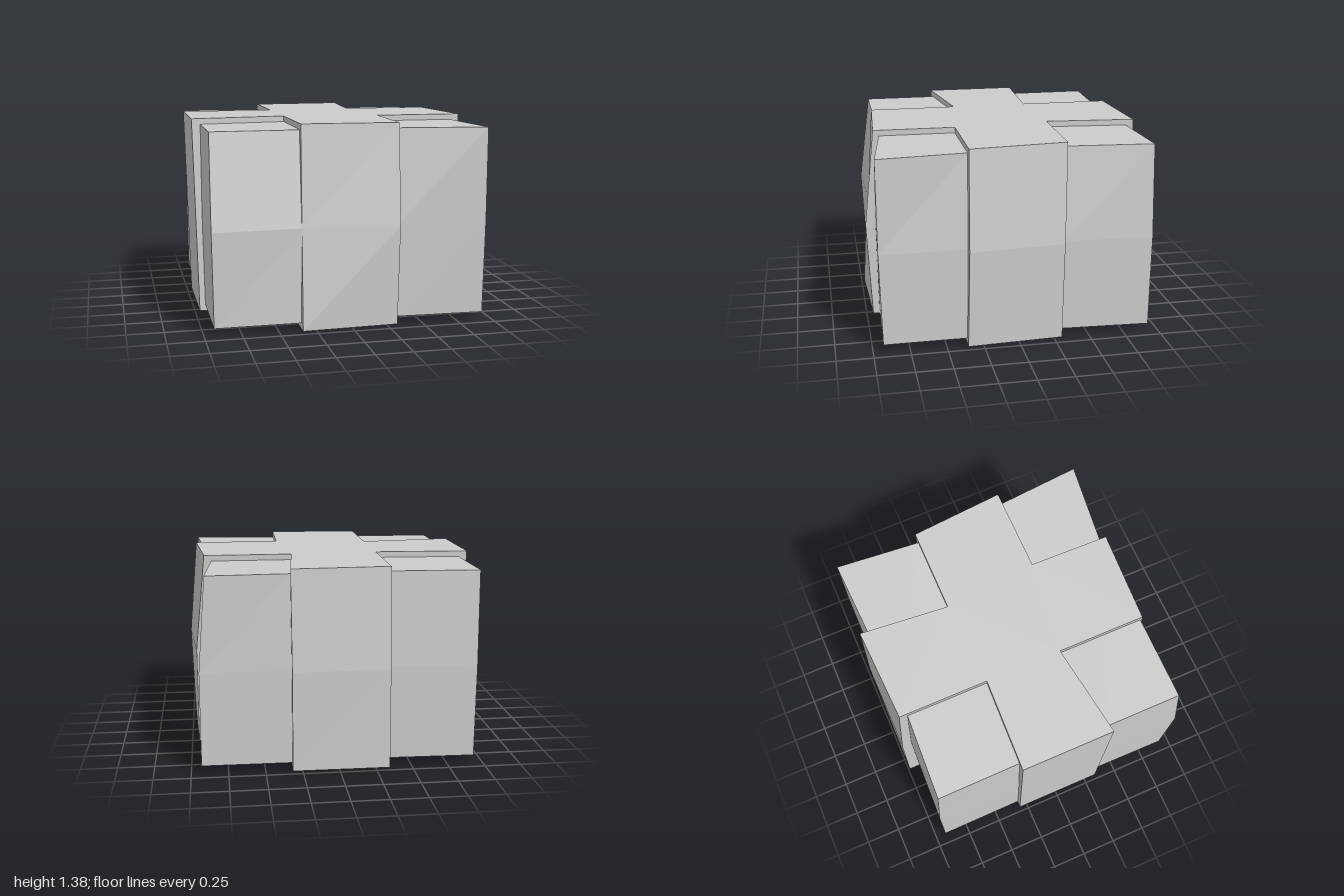
import * as THREE from 'three';

// Flat-shaded solid lofted through rings of [x, y, z]; caps list the corners of each end face.
function loft(rings, caps) {
  const pos = [];
  const tri = (a, b, c) => pos.push(...a, ...b, ...c);
  const n = rings[0].length;
  for (let k = 0; k < rings.length - 1; k++) {
    for (let i = 0; i < n; i++) {
      const j = (i + 1) % n;
      const [a, b, c, d] = [rings[k][i], rings[k][j], rings[k + 1][j], rings[k + 1][i]];
      tri(a, b, c);
      tri(a, c, d);
    }
  }
  const bottom = rings[0], top = rings[rings.length - 1];
  for (const cap of caps) {
    for (let i = 1; i < cap.length - 1; i++) {
      tri(top[cap[0]], top[cap[i]], top[cap[i + 1]]);
      tri(bottom[cap[0]], bottom[cap[i + 1]], bottom[cap[i]]);
    }
  }
  const geo = new THREE.BufferGeometry();
  geo.setAttribute('position', new THREE.Float32BufferAttribute(pos, 3));
  geo.computeVertexNormals();
  return geo;
}

// Plan outline [x, z] placed at a height (number, or function of the corner index).
const level = (outline, y) =>
  outline.map(([x, z], i) => [x, typeof y === 'function' ? y(i) : y, z]);

export function createModel() {
  const model = new THREE.Group();
  model.name = 'strappedParcel';
  const grey = new THREE.MeshStandardMaterial({ color: 0xcccccc });
  grey.name = 'light grey';

  const add = (name, geo) => {
    const mesh = new THREE.Mesh(geo, grey);
    mesh.name = name;
    model.add(mesh);
  };

  // Bulging, slightly uneven parcel: front, right, back, left, counterclockwise from above
  const bodyBottom = [
    [-0.935, 0.92], [-0.34, 0.92], [0.32, 0.91], [0.93, 0.93], [0.93, 0.34], [0.90, -0.32],
    [0.93, -0.925], [0.32, -0.93], [-0.34, -0.91], [-0.935, -0.925], [-0.93, -0.32], [-0.93, 0.34],
  ];
  const bodyMiddle = [
    [-0.945, 0.945], [-0.34, 0.92], [0.32, 0.915], [0.935, 0.945], [0.93, 0.34], [0.90, -0.32],
    [0.93, -0.93], [0.32, -0.93], [-0.34, -0.91], [-0.94, -0.93], [-0.94, -0.32], [-0.94, 0.34],
  ];
  const bodyTop = [
    [-0.94, 0.86], [-0.34, 0.825], [0.32, 0.87], [0.935, 0.945], [0.88, 0.34], [0.83, -0.33],
    [0.88, -0.93], [0.32, -0.905], [-0.34, -0.875], [-0.945, -0.90], [-0.94, -0.32], [-0.94, 0.34],
  ];
  add('parcelBody', loft(
    [level(bodyBottom, 0.055), level(bodyMiddle, 0.7), level(bodyTop, 1.345)],
    [[0, 1, 2, 11], [2, 3, 4, 11], [11, 4, 5, 10], [10, 5, 8, 9], [5, 6, 7, 8]],
  ));

  // Two wide crossing straps: arms at front, right, back, left with inner corners between
  const strapBottom = [
    [-0.35, 0.98], [0.31, 0.955], [0.32, 0.35], [0.98, 0.36], [0.95, -0.30], [0.30, -0.31],
    [0.32, -0.985], [-0.34, -0.99], [-0.34, -0.30], [-0.97, -0.31], [-0.97, 0.34], [-0.34, 0.30],
  ];
  const strapMiddle = [
    [-0.345, 0.925], [0.315, 0.985], [0.325, 0.345], [1.0, 0.35], [0.95, -0.31], [0.29, -0.32],
    [0.32, -0.985], [-0.34, -0.98], [-0.34, -0.30], [-0.985, -0.315], [-0.985, 0.34], [-0.34, 0.28],
  ];
  const strapTop = [
    [-0.34, 0.875], [0.32, 0.91], [0.33, 0.34], [0.94, 0.34], [0.88, -0.33], [0.27, -0.33],
    [0.325, -0.96], [-0.34, -0.93], [-0.34, -0.295], [-1.0, -0.32], [-1.0, 0.34], [-0.34, 0.25],
  ];
  const underside = (i) => (i % 3 === 2 ? 0 : 0.015);
  add('crossStraps', loft(
    [level(strapBottom, underside), level(strapMiddle, 0.7), level(strapTop, 1.385)],
    [[0, 1, 2, 11], [2, 3, 4, 5], [5, 6, 7, 8], [8, 9, 10, 11], [11, 2, 5, 8]],
  ));

  return model;
}
